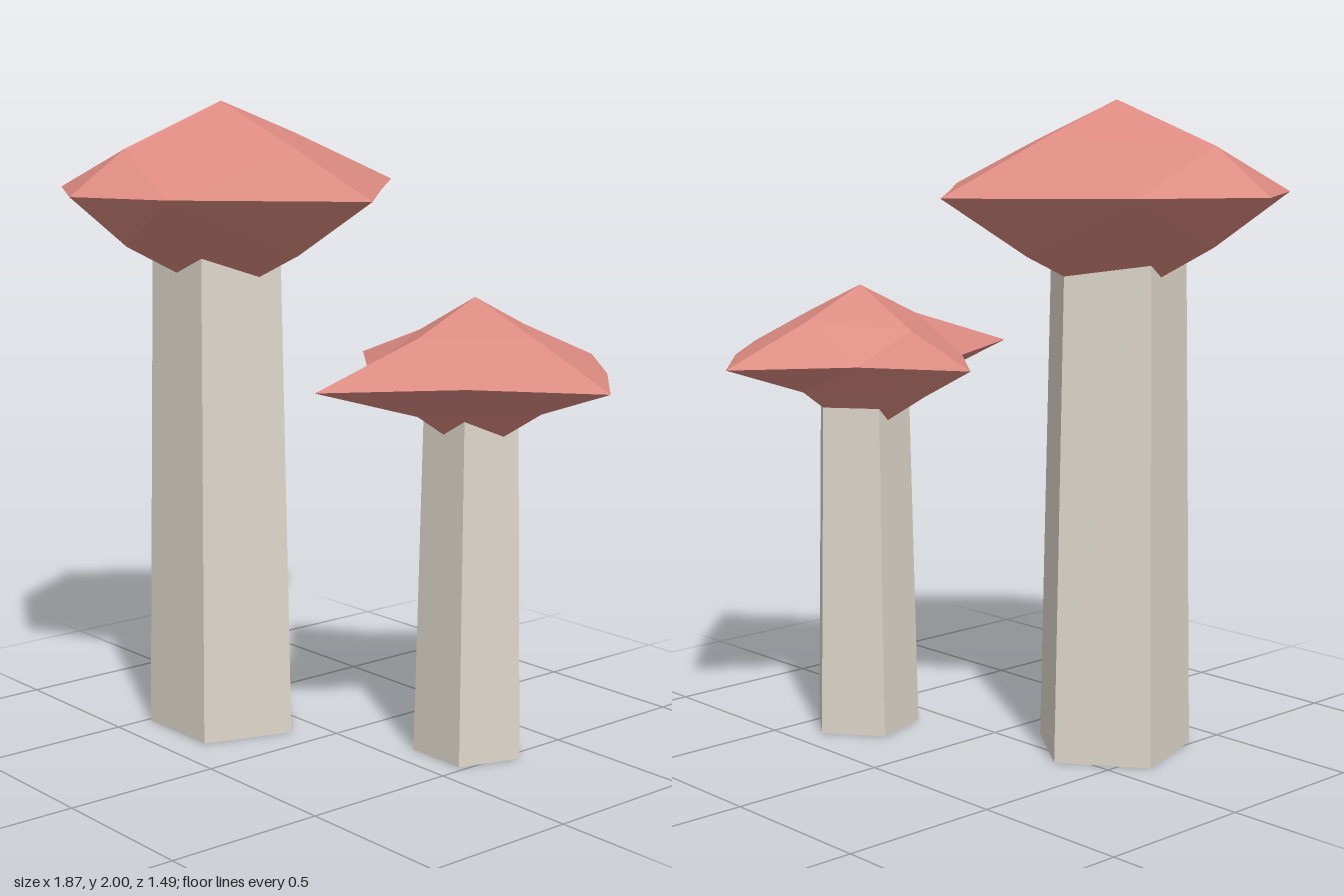
import * as THREE from 'three';

// Faceted cap: an octahedron with each face split in four and its points pulled in or out.
// Points are keyed by direction: R/L = +x/-x, U/D = +y/-y, F/B = +z/-z.
function capGeometry(points) {
  const pos = [];
  const tri = (flip, a, b, c) => {
    for (const key of flip ? [a, c, b] : [a, b, c]) pos.push(...points[key]);
  };
  for (const x of ['R', 'L']) for (const y of ['U', 'D']) for (const z of ['F', 'B']) {
    const flip = ((x === 'L') + (y === 'D') + (z === 'B')) % 2 === 1;
    const xy = x + y, yz = y + z, xz = x + z;
    tri(flip, x, xy, xz);
    tri(flip, xy, y, yz);
    tri(flip, xz, yz, z);
    tri(flip, xy, yz, xz);
  }
  const g = new THREE.BufferGeometry();
  g.setAttribute('position', new THREE.Float32BufferAttribute(pos, 3));
  g.computeVertexNormals();
  return g;
}

const largeCap = {
  R: [0.715, 0, 0], L: [-0.595, 0, 0], U: [0, 0.27, 0], D: [0, -0.34, 0], F: [0, 0, 0.56], B: [0, 0, -0.705],
  RF: [0.29, 0, 0.42], LF: [-0.39, 0, 0.34], RB: [0.355, 0, -0.35], LB: [-0.39, 0, -0.33],
  RU: [0.37, 0.135, 0], LU: [-0.39, 0.14, 0], RD: [0.38, -0.18, 0], LD: [-0.39, -0.15, 0],
  UF: [0, 0.135, 0.36], UB: [0, 0.165, -0.29], DF: [0, -0.16, 0.36], DB: [0, -0.18, -0.37],
};

const smallCap = {
  R: [0.555, 0, 0], L: [-0.515, 0, 0], U: [0, 0.225, 0], D: [0, -0.26, 0], F: [0, 0, 0.625], B: [0, 0, -0.52],
  RF: [0.235, 0, 0.255], LF: [-0.205, 0, 0.247], RB: [0.295, 0, -0.27], LB: [-0.215, 0, -0.19],
  RU: [0.255, 0.125, 0], LU: [-0.245, 0.1, 0], RD: [0.285, -0.095, 0], LD: [-0.305, -0.1, 0],
  UF: [0, 0.12, 0.23], UB: [0, 0.125, -0.21], DF: [0, -0.115, 0.23], DB: [0, -0.095, -0.23],
};

function mushroom(name, x, z, capY, points, topR, bottomR, stemH) {
  const group = new THREE.Group();
  group.name = name;
  group.position.set(x, 0, z);

  // Five-sided tapered stem, open underneath, with a flat side to the front
  const stem = new THREE.Mesh(
    new THREE.CylinderGeometry(topR, bottomR, stemH, 5, 1, true),
    new THREE.MeshStandardMaterial({ color: 0xddd6ca, flatShading: true, side: THREE.DoubleSide }),
  );
  stem.name = 'stem';
  stem.rotation.y = Math.PI;
  stem.position.y = stemH / 2;

  // Cap resting over the stem top
  const cap = new THREE.Mesh(
    capGeometry(points),
    new THREE.MeshStandardMaterial({ color: 0xdb8a80, flatShading: true }),
  );
  cap.name = 'cap';
  cap.position.y = capY;

  group.add(stem, cap);
  return group;
}

export function createModel() {
  const model = new THREE.Group();
  model.name = 'mushrooms';
  model.add(
    mushroom('largeMushroom', -0.34, 0.18, 1.73, largeCap, 0.217, 0.25, 1.6),
    mushroom('smallMushroom', 0.375, -0.23, 1.2, smallCap, 0.152, 0.176, 1.1),
  );
  return model;
}
